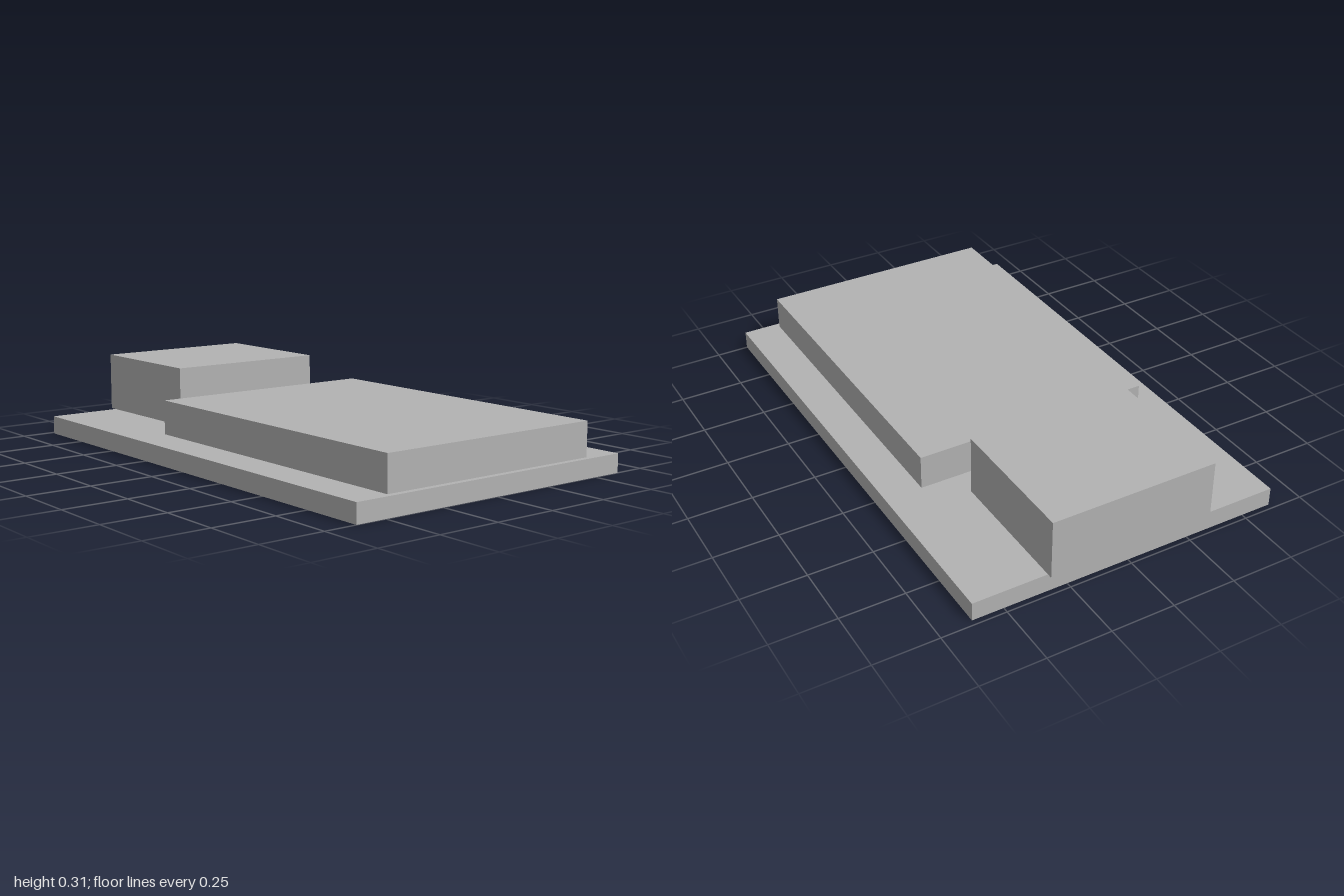
import * as THREE from 'three';

export function createModel() {
  const group = new THREE.Group();
  const grey = new THREE.MeshStandardMaterial({ color: 0xb2b2b2 });
  grey.name = 'light grey';

  // Adds a box centred on x, spanning the given heights and depths
  function addBlock(name, width, [y0, y1], [z0, z1]) {
    const mesh = new THREE.Mesh(new THREE.BoxGeometry(width, y1 - y0, z1 - z0), grey);
    mesh.name = name;
    mesh.position.set(0, (y0 + y1) / 2, (z0 + z1) / 2);
    group.add(mesh);
  }

  // Thin board at the bottom
  addBlock('baseBoard', 1.244, [0, 0.073], [-0.978, 1]);
  // Wide low block towards the front
  addBlock('mainBlock', 0.95, [0.073, 0.207], [-0.343, 0.977]);
  // Taller block slightly overhanging the back edge
  addBlock('rearBlock', 0.66, [0.075, 0.308], [-1, -0.453]);

  return group;
}
